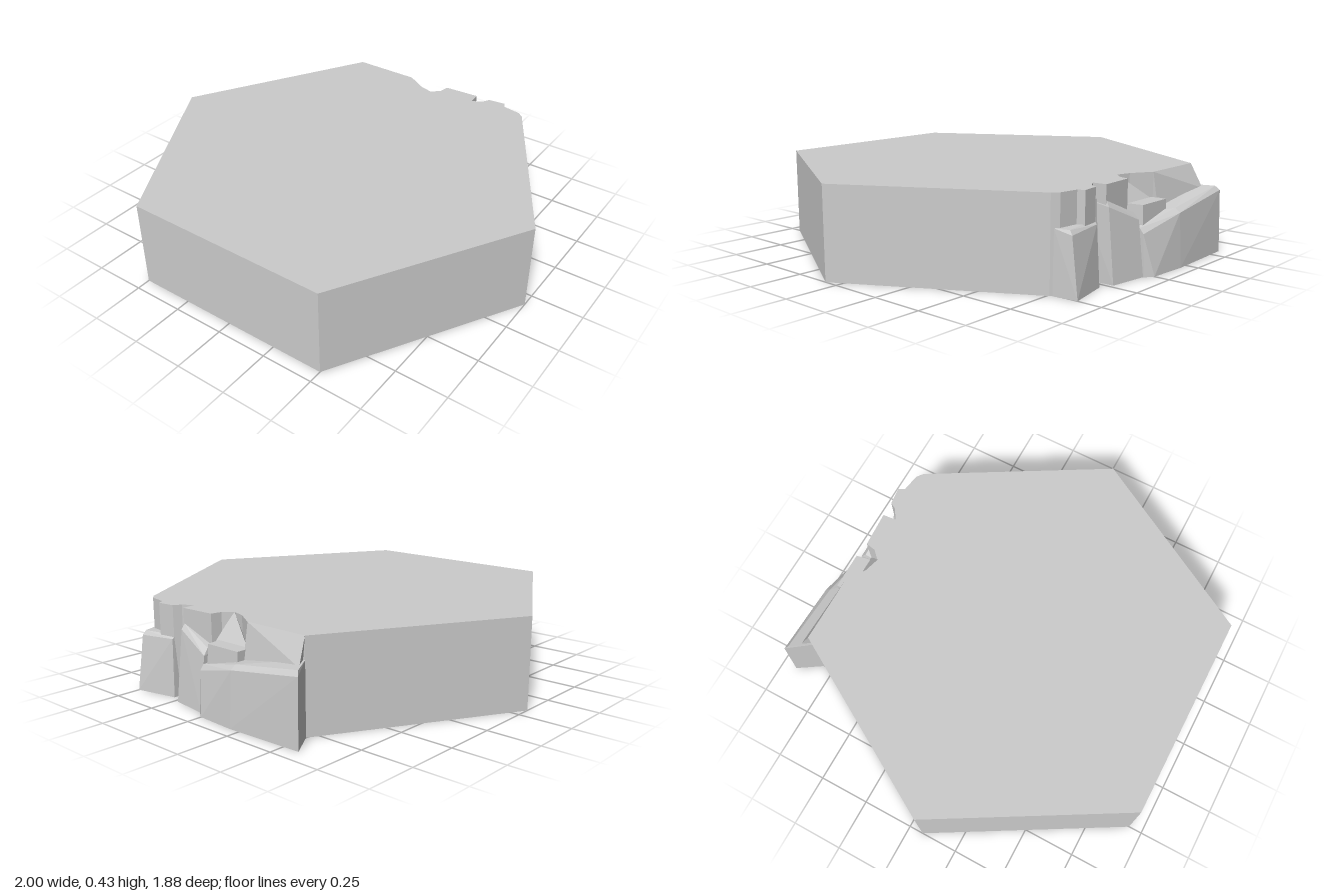
import * as THREE from 'three';
import { ConvexGeometry } from 'three/addons/geometries/ConvexGeometry.js';

const H = 0.425; // tile height

export function createModel() {
  const group = new THREE.Group();
  const stone = new THREE.MeshStandardMaterial({ color: 0xcccccc, flatShading: true });

  function add(name, geometry) {
    const mesh = new THREE.Mesh(geometry, stone);
    mesh.name = name;
    group.add(mesh);
  }
  // A faceted rock from its corner points
  const rock = (name, ...points) =>
    add(name, new ConvexGeometry(points.map((p) => new THREE.Vector3(...p))));

  // Hexagonal tile with a broken back edge, outline as [x, z]
  const outline = [
    [-1, 0.07], [-0.5, 0.935], [0.5, 0.935], [1, 0.07],
    [0.52, -0.76], [0.49, -0.785], [0.4, -0.8], [0.385, -0.83], [0.3, -0.82], [0.28, -0.785],
    [0.23, -0.755], [0.225, -0.82], [0.05, -0.81], [0.04, -0.76],
    [0, -0.72], [-0.07, -0.74], [-0.17, -0.8], [-0.5, -0.8],
  ];
  const shape = new THREE.Shape(outline.map(([x, z]) => new THREE.Vector2(x, -z)));
  const tile = new THREE.ExtrudeGeometry(shape, { depth: H, bevelEnabled: false });
  tile.rotateX(-Math.PI / 2);
  add('tile', tile);

  // Long low rock, leaning back, with a narrow bevel along its upper edge
  rock('longRock',
    [-0.58, 0, -0.925], [-0.2, 0, -0.94], [0, 0, -0.928], [0.04, 0, -0.9],
    [-0.575, 0.3, -0.918], [-0.2, 0.25, -0.925], [0.04, 0.19, -0.89],
    [-0.56, 0.32, -0.9], [-0.2, 0.27, -0.9], [0.04, 0.215, -0.87],
    [-0.5, 0.325, -0.8], [-0.5, 0, -0.8],
    [0.04, 0.23, -0.7], [0.04, 0, -0.7], [-0.42, 0.3, -0.7], [-0.42, 0, -0.7]);

  // Sloping wall between the long rock and the top of the tile
  rock('slopingWall',
    [-0.5, H, -0.8], [-0.17, H, -0.8], [-0.52, 0.31, -0.855], [-0.17, 0.25, -0.83],
    [-0.45, H - 0.01, -0.75], [-0.17, H - 0.01, -0.77], [-0.45, 0.25, -0.75], [-0.17, 0.25, -0.75]);

  // Flat step and the scooped hollow above it
  rock('step',
    [-0.175, 0.31, -0.865], [0.01, 0.31, -0.865], [-0.175, 0.31, -0.7], [0.04, 0.31, -0.7],
    [-0.175, 0.2, -0.87], [0.015, 0.2, -0.87], [-0.175, 0.2, -0.7], [0.04, 0.2, -0.7]);
  rock('hollow',
    [-0.17, 0.3, -0.8], [0.04, 0.3, -0.8], [-0.07, 0.37, -0.755], [0.02, 0.37, -0.755],
    [0, H, -0.72], [-0.05, 0.3, -0.7], [0.04, 0.3, -0.7]);

  // Middle rock
  rock('middleRock',
    [0.04, 0, -0.895], [0.23, 0, -0.87], [0.04, 0.25, -0.865], [0.225, 0.33, -0.835],
    [0.045, 0.28, -0.84], [0.22, 0.355, -0.82],
    [0.04, 0, -0.7], [0.235, 0, -0.7], [0.04, 0.29, -0.7], [0.235, 0.355, -0.7]);

  // Corner rock
  rock('cornerRock',
    [0.29, 0, -0.842], [0.5, 0, -0.885], [0.3, 0.27, -0.83], [0.495, 0.26, -0.85],
    [0.3, 0.285, -0.81], [0.49, 0.28, -0.835],
    [0.29, 0, -0.7], [0.515, 0, -0.77], [0.3, 0.285, -0.7], [0.51, 0.28, -0.77]);

  // Filling at the bottom of the crack between the two rocks
  rock('crackFill',
    [0.225, 0, -0.8], [0.3, 0, -0.8], [0.225, 0.36, -0.775], [0.3, 0.36, -0.775],
    [0.225, 0, -0.7], [0.3, 0, -0.7], [0.225, 0.38, -0.7], [0.3, 0.38, -0.7]);

  return group;
}
